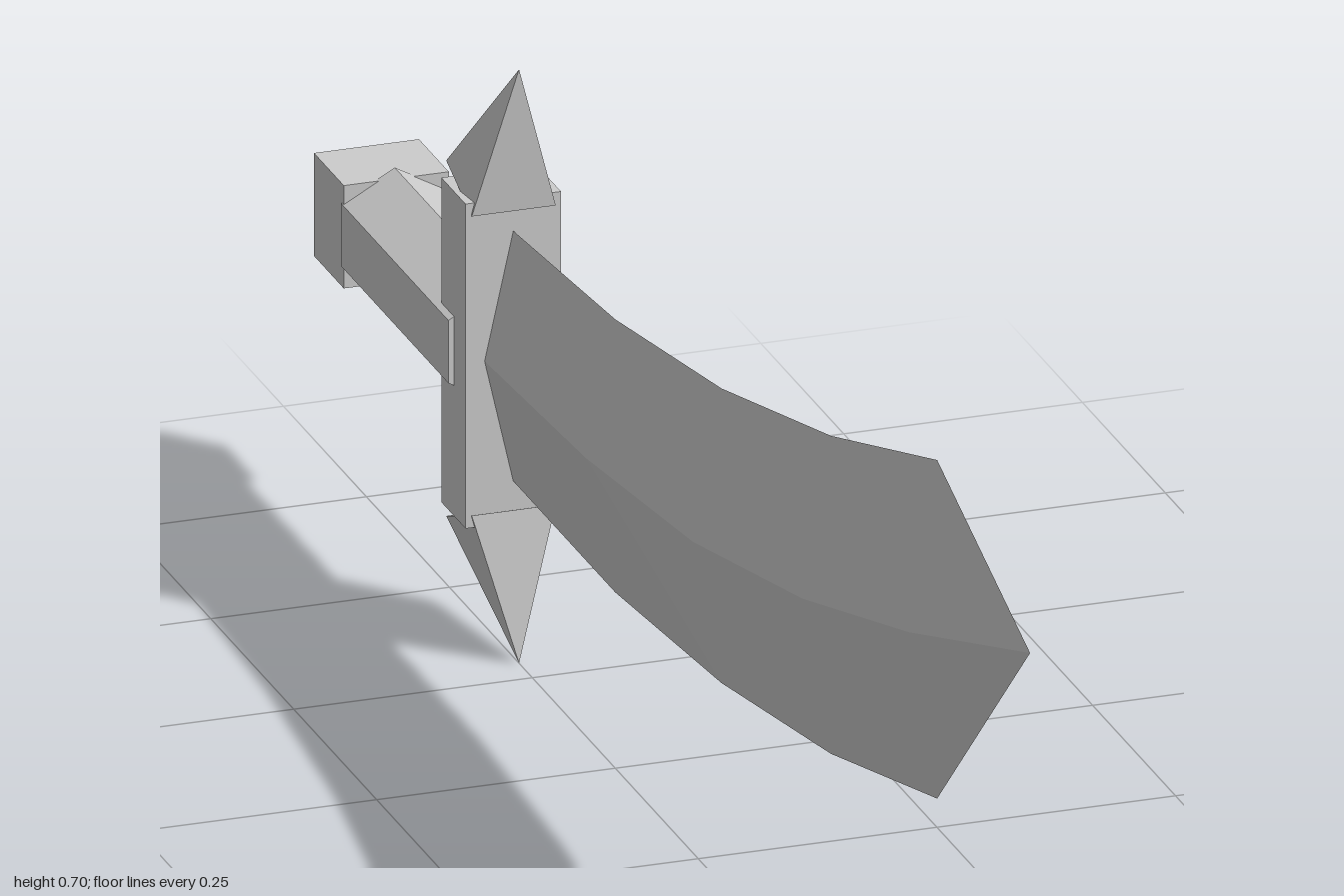
import * as THREE from 'three';

// Skins a list of rings (counter-clockwise seen from the far end); a one-point ring makes a tip.
function loft(rings) {
  const pos = [];
  const tri = (...pts) => pts.forEach((p) => pos.push(...p));
  const n = rings[0].length;
  for (let k = 0; k < rings.length - 1; k++) {
    const a = rings[k], b = rings[k + 1];
    for (let i = 0; i < n; i++) {
      const j = (i + 1) % n;
      tri(a[i], a[j], b[j % b.length]);
      if (b.length > 1) tri(a[i], b[j], b[i]);
    }
  }
  const first = rings[0], last = rings[rings.length - 1];
  for (let i = 1; i < n - 1; i++) {
    tri(first[0], first[i + 1], first[i]);
    if (last.length > 1) tri(last[0], last[i], last[i + 1]);
  }
  const g = new THREE.BufferGeometry();
  g.setAttribute('position', new THREE.Float32BufferAttribute(pos, 3));
  g.computeVertexNormals();
  return g;
}

export function createModel() {
  const group = new THREE.Group();
  const steel = new THREE.MeshStandardMaterial({ color: 0xcccccc, flatShading: true });
  steel.name = 'grey steel';
  const add = (name, geometry, x = 0, y = 0, z = 0) => {
    const mesh = new THREE.Mesh(geometry, steel);
    mesh.name = name;
    mesh.position.set(x, y, z);
    group.add(mesh);
  };

  // Curved diamond-section blade: z, back edge, ridge, cutting edge
  const stations = [
    [-0.565, 0.455, 0.32, 0.188],
    [-0.25, 0.48, 0.335, 0.188],
    [0.07, 0.53, 0.37, 0.215],
    [0.4, 0.607, 0.437, 0.267],
    [0.72, 0.705, 0.525, 0.343],
  ];
  const w = 0.03;
  const blade = stations.map(([z, top, mid, low]) => [[w, mid, z], [0, top, z], [-w, mid, z], [0, low, z]]);
  blade.push([[0, 0.607, 1]]);
  add('blade', loft(blade));

  // Cross guard
  add('guard', new THREE.BoxGeometry(0.1, 0.347, 0.073), 0, 0.3175, -0.594);

  // Slanted pyramid spikes at both ends of the guard
  const mid = 0.3175, s = 0.044;
  for (const dir of [1, -1]) {
    const front = mid + dir * 0.16, back = mid + dir * 0.19;
    const base = [[s, front, -0.556], [s, back, -0.633], [-s, back, -0.633], [-s, front, -0.556]];
    if (dir < 0) base.reverse();
    add(dir > 0 ? 'upperSpike' : 'lowerSpike', loft([base, [[0, mid + dir * 0.3175, -0.54]]]));
  }

  // Six-sided grip, ridged on top and below
  const section = [[0.056, 0.287], [0.056, 0.354], [0, 0.385], [-0.056, 0.354], [-0.056, 0.287], [0, 0.256]];
  add('grip', loft([-0.915, -0.592].map((z) => section.map(([x, y]) => [x, y, z]))));

  // Square pommel
  add('pommel', new THREE.BoxGeometry(0.11, 0.11, 0.09), 0, 0.32, -0.955);

  return group;
}
